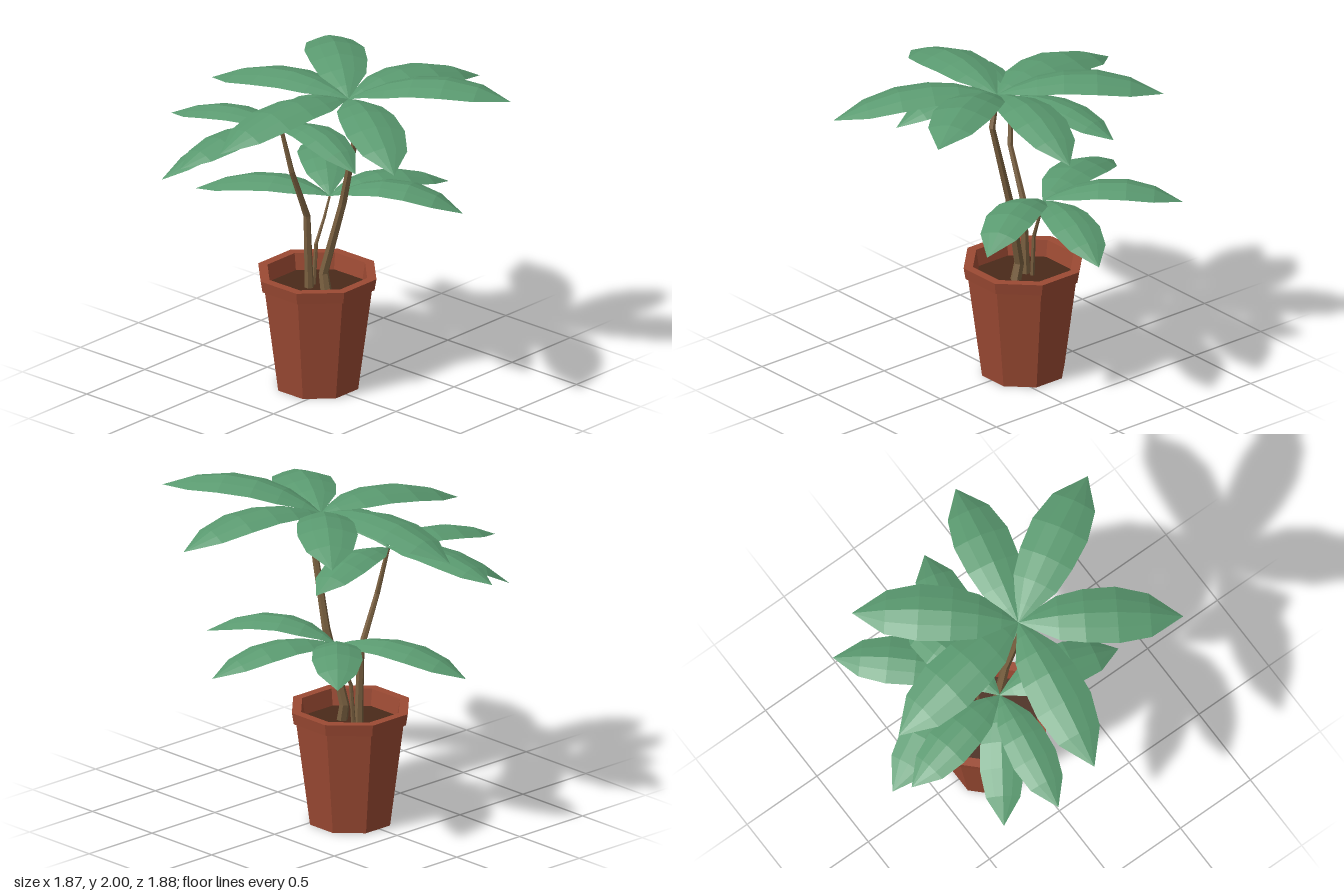
import * as THREE from 'three';

const paint = (color, side = THREE.FrontSide) =>
  new THREE.MeshStandardMaterial({ color, side, flatShading: true });
const leafMat = paint(0x5a9a70, THREE.DoubleSide);
const stemMat = paint(0x7a6040);
const potMat = paint(0x9c4a33);
const soilMat = paint(0x4a2a1a);

function mesh(name, geometry, material) {
  const m = new THREE.Mesh(geometry, material);
  m.name = name;
  return m;
}

// Grid of points (rows x cols) turned into a surface
function gridGeometry(rows) {
  const cols = rows[0].length;
  const index = [];
  for (let i = 0; i < rows.length - 1; i++) {
    for (let j = 0; j < cols - 1; j++) {
      const a = i * cols + j, b = a + 1, c = a + cols, d = c + 1;
      index.push(a, c, b, b, c, d);
    }
  }
  const g = new THREE.BufferGeometry().setFromPoints(rows.flat());
  g.setIndex(index);
  g.computeVertexNormals();
  return g;
}

// Tapered six-sided stem through a few points [x, y, z]
function stemGeometry(path, r0, r1) {
  const sides = 6;
  return gridGeometry(path.map(([x, y, z], i) => {
    const r = THREE.MathUtils.lerp(r0, r1, i / (path.length - 1));
    return Array.from({ length: sides + 1 }, (_, j) => {
      const a = (j / sides) * Math.PI * 2;
      return new THREE.Vector3(x + r * Math.sin(a), y, z + r * Math.cos(a));
    });
  }));
}

// Half width of a leaf along its midrib, as fractions of its length
const outline = [[0, 0.004], [0.1, 0.065], [0.24, 0.142], [0.4, 0.172], [0.6, 0.182], [0.8, 0.14], [1, 0]];

// Arched leaf from base to tip, its edges folded down from the midrib
function leafGeometry(base, tip, hump) {
  const from = new THREE.Vector3(...base), to = new THREE.Vector3(...tip);
  const along = to.clone().sub(from).setY(0);
  const length = along.length();
  const across = new THREE.Vector3(along.z, 0, -along.x).normalize();
  return gridGeometry(outline.map(([t, w]) =>
    [-1, -0.5, 0, 0.5, 1].map((s) => {
      const p = from.clone().lerp(to, t).addScaledVector(across, s * w * length);
      p.y += 4 * hump * t * (1 - t) - 0.28 * w * length * Math.abs(s) ** 1.4;
      return p;
    })));
}

// Each shoot: stem path, radii, and leaves as [tip x, y, z, hump]
const shoots = [
  {
    name: 'tallShoot', radii: [0.035, 0.014],
    path: [[0.015, 0.56, -0.05], [0.02, 0.7, -0.08], [0.062, 1.15, 0.03], [0.05, 1.64, 0.15], [0.035, 1.83, 0.1]],
    leaves: [
      [-0.91, 1.73, -0.05, 0.12], [-0.47, 1.73, 0.91, 0.12], [0.5, 1.9, 0.94, 0.135],
      [0.93, 1.76, 0.31, 0.13], [0.65, 1.83, -0.64, 0.13], [-0.09, 1.74, -0.85, 0.12],
    ],
  },
  {
    name: 'middleShoot', radii: [0.03, 0.012],
    path: [[-0.015, 0.56, -0.16], [-0.02, 0.7, -0.16], [-0.035, 1.05, -0.16], [-0.16, 1.36, -0.165], [-0.205, 1.64, -0.21]],
    leaves: [
      [-0.94, 1.57, -0.33, 0.09], [-0.79, 1.38, -0.61, 0.1], [-0.34, 1.57, -0.94, 0.09],
      [0.52, 1.57, -0.37, 0.09], [-0.37, 1.6, 0.52, 0.13],
    ],
  },
  {
    name: 'lowShoot', radii: [0.014, 0.007],
    path: [[0.03, 0.56, -0.17], [0.05, 0.85, -0.165], [0.11, 1.0, -0.155], [0.15, 1.12, -0.15]],
    leaves: [
      [0.92, 1.04, 0.08, 0.11], [0.5, 1.1, 0.57, 0.14],
      [0.7, 1.13, -0.74, 0.12], [-0.14, 1.04, -0.93, 0.11],
    ],
  },
];

export function createModel() {
  const plant = new THREE.Group();
  plant.name = 'pottedPlant';

  // Eight-sided pot with a collar rim and hollow top
  const profile = [[0, 0], [0.25, 0], [0.335, 0.63], [0.35, 0.63], [0.362, 0.7], [0.305, 0.7], [0.285, 0.58]];
  const pot = mesh('pot', new THREE.LatheGeometry(
    profile.map(([r, y]) => new THREE.Vector2(r, y)), 8, Math.PI / 8), potMat);
  const soil = mesh('soil', new THREE.CylinderGeometry(0.29, 0.285, 0.03, 8)
    .rotateY(Math.PI / 8).translate(0, 0.585, 0), soilMat);
  const planter = new THREE.Group();
  planter.name = 'planter';
  planter.position.set(0.01, 0, -0.12);
  planter.add(pot, soil);
  plant.add(planter);

  // Three shoots, each topped by a spray of leaves
  for (const { name, path, radii, leaves } of shoots) {
    const shoot = new THREE.Group();
    shoot.name = name;
    shoot.add(mesh('stem', stemGeometry(path, ...radii).scale(1, 1, 1), stemMat));
    const crown = path[path.length - 1];
    leaves.forEach(([x, y, z, hump]) =>
      shoot.add(mesh('leaf', leafGeometry(crown, [x, y, z], hump), leafMat)));
    plant.add(shoot);
  }

  // Stem walls face outward
  stemMat.side = THREE.DoubleSide;
  return plant;
}
